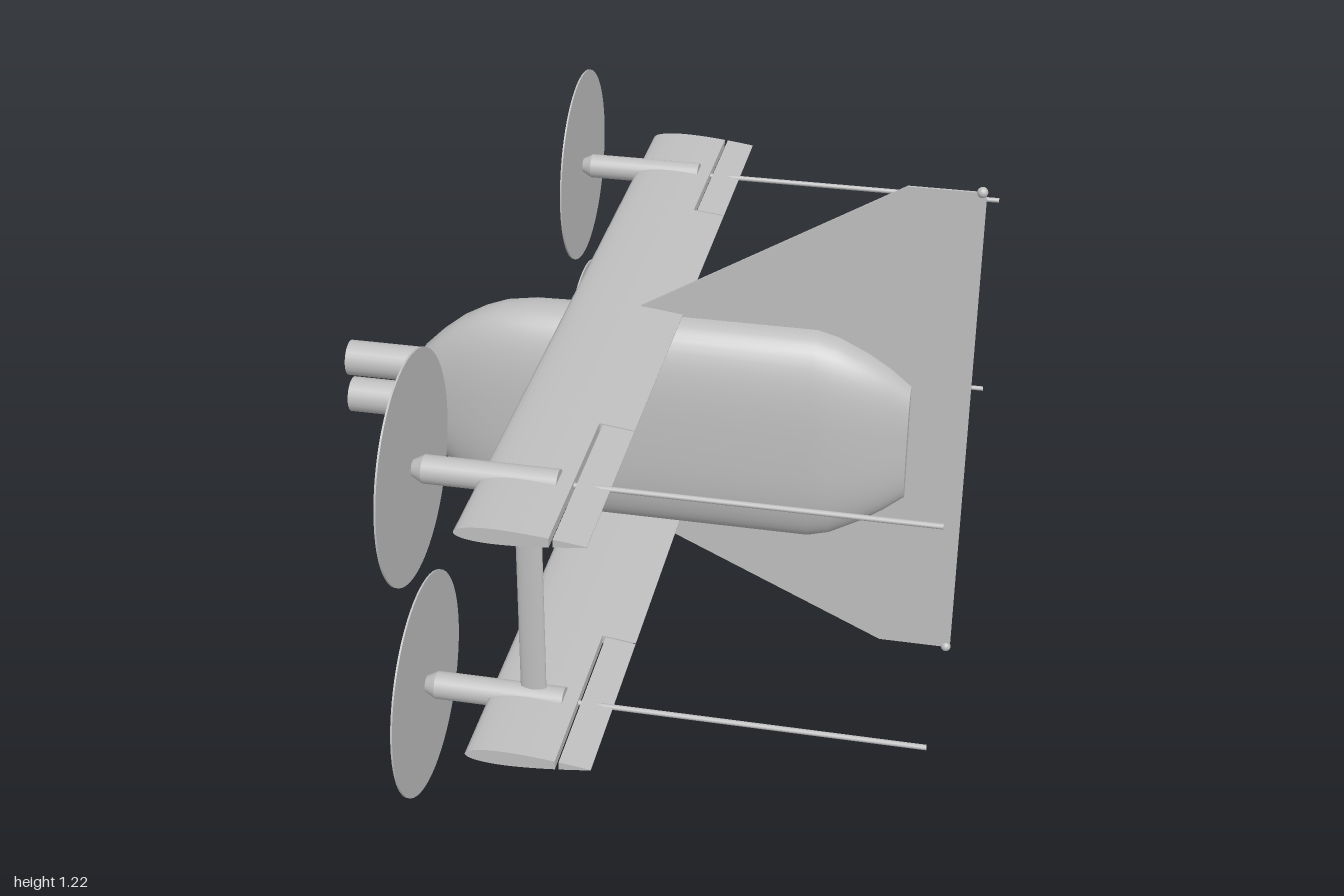
import * as THREE from 'three';
import { toCreasedNormals } from 'three/addons/utils/BufferGeometryUtils.js';

const grey = new THREE.MeshStandardMaterial({ color: 0xbfbfbf });
grey.name = 'light grey';
const greyThin = grey;
greyThin.side = THREE.DoubleSide;

const WING_Y = [0.303, 0.847];
const LEAD = -0.195, CHORD = 0.265;

function part(name, geometry, parent, x = 0, y = 0, z = 0) {
  const mesh = new THREE.Mesh(geometry, grey);
  mesh.name = name;
  mesh.position.set(x, y, z);
  parent.add(mesh);
  return mesh;
}

// Cylinder or cone lying along x; r0 is the radius at the -x end
function rod(r0, r1, x0, x1, sides = 24) {
  const g = new THREE.CylinderGeometry(r0, r1, x1 - x0, sides);
  g.rotateZ(Math.PI / 2);
  g.translate((x0 + x1) / 2, 0, 0);
  return g;
}

// Loft along x from rows of [x, bottom, top, half width, roundness power]
function loft(rows, n = 48) {
  const pos = [], idx = [];
  const pow = (v, e) => Math.sign(v) * Math.abs(v) ** e;
  for (const [x, lo, hi, w, p] of rows) {
    for (let j = 0; j < n; j++) {
      const t = (j / n) * Math.PI * 2;
      pos.push(x, (lo + hi) / 2 + ((hi - lo) / 2) * pow(Math.sin(t), 2 / p), w * pow(Math.cos(t), 2 / p));
    }
  }
  const last = rows.length - 1;
  for (let i = 0; i < last; i++) {
    for (let j = 0; j < n; j++) {
      const a = i * n + j, c = i * n + (j + 1) % n;
      idx.push(a, a + n, c, c, a + n, c + n);
    }
  }
  for (const i of [0, last]) {
    const centre = pos.length / 3;
    pos.push(rows[i][0], (rows[i][1] + rows[i][2]) / 2, 0);
    for (let j = 0; j < n; j++) {
      const a = i * n + j, b = i * n + (j + 1) % n;
      if (i === 0) idx.push(centre, a, b);
      else idx.push(centre, b, a);
    }
  }
  const g = new THREE.BufferGeometry();
  g.setAttribute('position', new THREE.Float32BufferAttribute(pos, 3));
  g.setIndex(idx);
  return toCreasedNormals(g, 0.55);
}

// Half thickness of the aerofoil at a chord fraction
function halfThickness(u) {
  return 0.6 * CHORD * 0.13 * 1.0 * (2.969 * Math.sqrt(u) - 1.26 * u - 3.516 * u * u + 2.843 * u ** 3 - 1.015 * u ** 4) / 1.2 ;
}

// Slice of the aerofoil between two x positions, extruded between two z positions
function wingSlice(x0, x1, z0, z1) {
  const upper = [], lower = [];
  const steps = 20;
  for (let i = 0; i <= steps; i++) {
    const k = i / steps;
    const x = x0 + (x1 - x0) * (x0 === LEAD ? k * k : k);
    const h = Math.max(halfThickness((x - LEAD) / CHORD), 0.0008);
    upper.push(new THREE.Vector2(x, h));
    lower.push(new THREE.Vector2(x, -h));
  }
  const g = new THREE.ExtrudeGeometry(new THREE.Shape([...lower, ...upper.reverse()]), {
    depth: z1 - z0, bevelEnabled: false,
  });
  g.translate(0, 0, z0);
  return toCreasedNormals(g, 0.6);
}

export function createModel() {
  const model = new THREE.Group();
  model.name = 'biplaneDrone';

  // Tall, narrow body with rounded nose and tapered tail
  part('fuselage', loft([
    [-0.585, 0.53, 0.62, 0.025, 2.2],
    [-0.57, 0.495, 0.66, 0.036, 2.2],
    [-0.545, 0.46, 0.70, 0.048, 2.3],
    [-0.50, 0.408, 0.745, 0.064, 2.4],
    [-0.45, 0.37, 0.785, 0.080, 2.5],
    [-0.40, 0.345, 0.812, 0.091, 2.6],
    [-0.35, 0.325, 0.83, 0.099, 2.7],
    [-0.28, 0.312, 0.84, 0.104, 2.8],
    [-0.2, 0.308, 0.842, 0.105, 2.8],
    [0.38, 0.308, 0.842, 0.105, 2.8],
    [0.43, 0.322, 0.828, 0.101, 2.8],
    [0.50, 0.360, 0.793, 0.084, 2.8],
    [0.55, 0.393, 0.76, 0.067, 2.8],
    [0.597, 0.43, 0.72, 0.045, 2.8],
  ]), model);

  // Twin nose tubes
  for (const y of [0.545, 0.645]) part('noseTube', rod(0.042, 0.042, -0.735, -0.5), model, 0, y, 0);

  // Vertical fin plate spanning above and below the body
  const fin = new THREE.Shape([
    [-0.03, 0.29], [0.56, 0.012], [0.73, 0.012], [0.73, 1.212], [0.56, 1.212], [-0.03, 0.858],
  ].map(([x, y]) => new THREE.Vector2(x, y)));
  part('fin', new THREE.ExtrudeGeometry(fin, { depth: 0.006, bevelEnabled: false }), model, 0, 0, -0.003);
  for (const y of [0.012, 1.212]) part('finTipBall', new THREE.SphereGeometry(0.012, 16, 12), model, 0.72, y, 0);

  for (const y of WING_Y) {
    // Wing with a full-chord middle and slotted ailerons outboard
    const wing = new THREE.Group();
    wing.name = 'wing';
    wing.position.y = y;
    model.add(wing);
    part('wingMain', wingSlice(LEAD, -0.005, -0.965, 0.965), wing);
    part('wingRear', wingSlice(-0.005, 0.07, -0.525, 0.525), wing);

    for (const s of [-1, 1]) {
      const [z0, z1] = s > 0 ? [0.529, 0.965] : [-0.965, -0.529];
      part('aileron', wingSlice(0.003, 0.07, z0, z1), wing);

      // Motor pod, spinner, propeller disc and trailing boom
      const motor = new THREE.Group();
      motor.name = 'motorUnit';
      motor.position.set(0, 0, s * 0.755);
      wing.add(motor);
      part('motorPod', rod(0.03, 0.03, -0.315, -0.035), motor);
      part('spinner', rod(0.001, 0.03, -0.37, -0.315), motor);
      part('propellerDisc', rod(0.245, 0.245, -0.342, -0.338, 64), motor);
      part('boom', rod(0.006, 0.006, -0.04, 0.73, 10), motor);
    }
  }

  // Interplane struts
  const strut = new THREE.CylinderGeometry(1, 1, WING_Y[1] - WING_Y[0], 24);
  strut.scale(0.028, 1, 0.01);
  for (const s of [-1, 1]) part('strut', strut, model, -0.102, 0.575, s * 0.755);

  return model;
}
